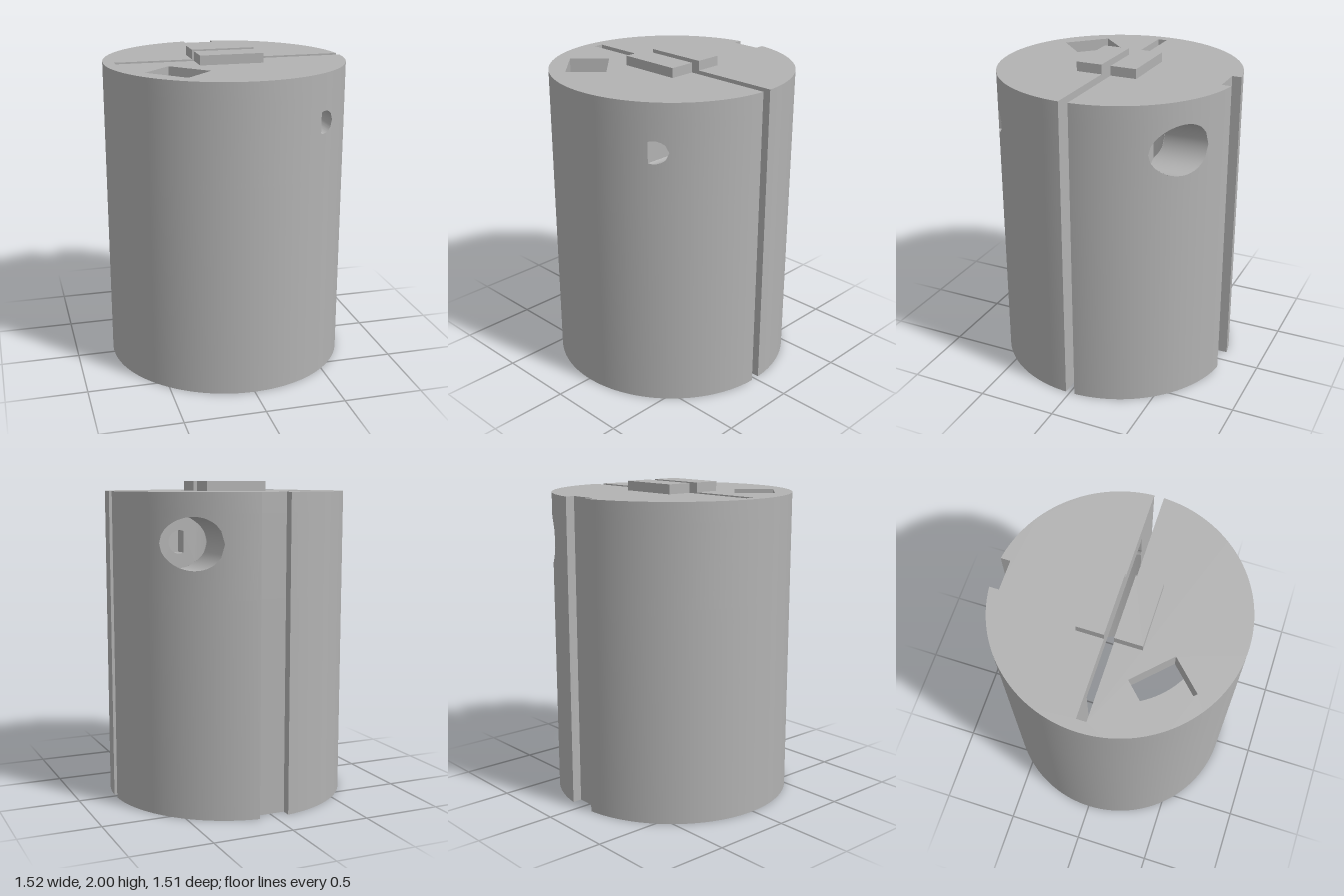
import * as THREE from 'three';
import { toCreasedNormals } from 'three/addons/utils/BufferGeometryUtils.js';

const R = 0.76, BORE = 0.61, UPPER_BORE = 0.52;      // radii of body and stepped bore
const LEDGE = 1.32, CAP = 1.82, TOP = 1.94;          // heights of the sections
const SLIT = 0.03, SLIT_END = -0.69;                 // clamping slit
const NOTCH = 0.095, NOTCH_Z = 0.695;                // keyway at the back
const HOLE_Y = 1.645, SEAT_Z = 0.38;                 // clamp screw hole
const SEAT_X = Math.sqrt(UPPER_BORE ** 2 - SEAT_Z ** 2);
const screw = { cx: 0.456, r: 0.069, flat: 0.43 };
const seat = { cx: 0.455, r: 0.155, flat: 0.3 };
const V = (x, y) => new THREE.Vector2(x, y);
const depth = (r, x) => Math.sqrt(Math.max(SLIT ** 2, r * r - x * x));

// Arc points in plan, with extra points where the screw hole begins and ends
function arc(r, a0, a1) {
  const n = Math.ceil(Math.abs(a1 - a0) / (Math.PI / 90));
  const list = [];
  for (let i = 0; i <= n; i++) list.push(a0 + (a1 - a0) * i / n);
  for (const x of [0.3, SEAT_X, 0.43, 0.525, 0.61]) {
    if (x >= r) continue;
    const a = Math.acos(x / r);
    for (const b of [a, 2 * Math.PI - a]) {
      if (b > Math.min(a0, a1) && b < Math.max(a0, a1)) list.push(b);
    }
  }
  list.sort((p, q) => (a1 > a0 ? p - q : q - p));
  return list.map(a => V(r * Math.cos(a), r * Math.sin(a)));
}

// Plan outline, counter-clockwise, with plan y = -z
function plan(inner, slot) {
  const a = Math.asin(SLIT / R), k = Math.acos(NOTCH / R);
  const slotEnd = slot ? [V(SLIT_END, -SLIT), V(SLIT_END, SLIT)] : [];
  const pts = [...arc(R, a, k), V(NOTCH, NOTCH_Z), V(-NOTCH, NOTCH_Z),
    ...arc(R, Math.PI - k, 2 * Math.PI - a)];
  if (!inner) return [...pts, ...slotEnd];
  const b = Math.asin(SLIT / inner);
  return [...pts, ...arc(inner, 2 * Math.PI - b, Math.PI + b), ...slotEnd,
    ...arc(inner, Math.PI - b, b)];
}

function extrudeUp(shape, y0, y1) {
  const g = new THREE.ExtrudeGeometry(shape, { depth: y1 - y0, bevelEnabled: false });
  return g.rotateX(-Math.PI / 2).translate(0, y0, 0);
}

function fromQuads(quads) {
  const pos = [];
  for (const [a, b, c, d] of quads) pos.push(...a, ...b, ...c, ...a, ...c, ...d);
  const g = new THREE.BufferGeometry();
  g.setAttribute('position', new THREE.Float32BufferAttribute(pos, 3));
  return g;
}

const half = (h, x) => Math.sqrt(Math.max(0, h.r ** 2 - (x - h.cx) ** 2));

// Which hole, if any, cuts the wall at a plan point
function holeAt(x, y) {
  if (Math.abs(y) <= SLIT + 0.001) return null;
  const outer = Math.hypot(x, y) > 0.65;
  const h = y > 0 && (outer || x < SEAT_X) ? seat : screw;
  return x > h.flat && x < h.cx + h.r ? h : null;
}

// Upright wall along the outline, left open at the holes
function piercedWall(pts, y0, y1) {
  const quads = [];
  pts.forEach((p, i) => {
    const q = pts[(i + 1) % pts.length];
    const band = (pl, ql, qh, ph) => quads.push(
      [[p.x, pl, -p.y], [q.x, ql, -q.y], [q.x, qh, -q.y], [p.x, ph, -p.y]]);
    const h = holeAt((p.x + q.x) / 2, (p.y + q.y) / 2);
    if (!h) return band(y0, y0, y1, y1);
    const hp = half(h, p.x), hq = half(h, q.x);
    band(y0, y0, HOLE_Y - hq, HOLE_Y - hp);
    band(HOLE_Y + hp, HOLE_Y + hq, y1, y1);
  });
  return fromQuads(quads);
}

// Round hole profile with a flat side at x = flat
function profile(h, flat = h.flat) {
  const a = Math.acos(Math.max(-1, (flat - h.cx) / h.r)), pts = [];
  for (let i = 0; i <= 48; i++) {
    const t = -a + 2 * a * i / 48;
    pts.push(V(h.cx + h.r * Math.cos(t), HOLE_Y + h.r * Math.sin(t)));
  }
  return pts;
}

// Inside of a hole running along z between two curved ends
function holeLining(h, zA, zB) {
  const pts = profile(h);
  return fromQuads(pts.map((p, i) => {
    const q = pts[(i + 1) % pts.length];
    return [[p.x, p.y, zA(p.x)], [p.x, p.y, zB(p.x)], [q.x, q.y, zB(q.x)], [q.x, q.y, zA(q.x)]];
  }));
}

export function createModel() {
  const model = new THREE.Group();
  model.name = 'slottedSleeve';
  const grey = new THREE.MeshStandardMaterial({ color: 0xb2b2b2, side: THREE.DoubleSide });
  grey.name = 'grey';
  const add = (name, geometry) => {
    const mesh = new THREE.Mesh(toCreasedNormals(geometry, 0.5), grey);
    mesh.name = name;
    model.add(mesh);
    return mesh;
  };

  // Lower sleeve with the wide bore
  add('lowerSleeve', extrudeUp(new THREE.Shape(plan(BORE, false)), 0, LEDGE));

  // Upper sleeve with the narrow bore and the screw holes
  const upper = plan(UPPER_BORE, true);
  add('upperSleeve', piercedWall(upper, LEDGE, CAP));
  const ring = new THREE.ShapeGeometry(new THREE.Shape(upper));
  add('boreLedge', ring.clone().rotateX(Math.PI / 2).scale(1, 1, -1).translate(0, LEDGE, 0));
  add('pocketFloor', ring.clone().rotateX(-Math.PI / 2).translate(0, CAP, 0));

  // Clamp screw hole, front and back, with its seat
  add('frontScrewHole', holeLining(screw, x => depth(R, x), x => depth(UPPER_BORE, x)));
  add('backScrewHole', holeLining(screw, () => -SEAT_Z, x => -depth(UPPER_BORE, x)));
  add('screwSeat', holeLining(seat, x => -depth(R, x),
    x => Math.min(-SEAT_Z, -depth(UPPER_BORE, x))));
  const seatShape = new THREE.Shape(profile(seat, SEAT_X));
  seatShape.holes.push(new THREE.Path(profile(screw)));
  add('screwSeatFloor', new THREE.ShapeGeometry(seatShape).translate(0, 0, -SEAT_Z));

  // Cap with the slit and the slanted pocket
  const cap = new THREE.Shape(plan(0, true));
  cap.holes.push(new THREE.Path([V(-0.565, -0.348), V(-0.39, -0.172), V(-0.178, -0.384), V(-0.353, -0.56)]));
  add('cap', extrudeUp(cap, CAP, TOP));

  // Raised blocks either side of the slit
  for (const [name, s] of [['frontBlock', 1], ['backBlock', -1]]) {
    add(name, new THREE.BoxGeometry(0.4, 0.06, 0.167)).position.set(0, TOP + 0.03, s * 0.1135);
  }

  model.children.forEach(m => { m.position.z -= 0.003; });
  return model;
}
